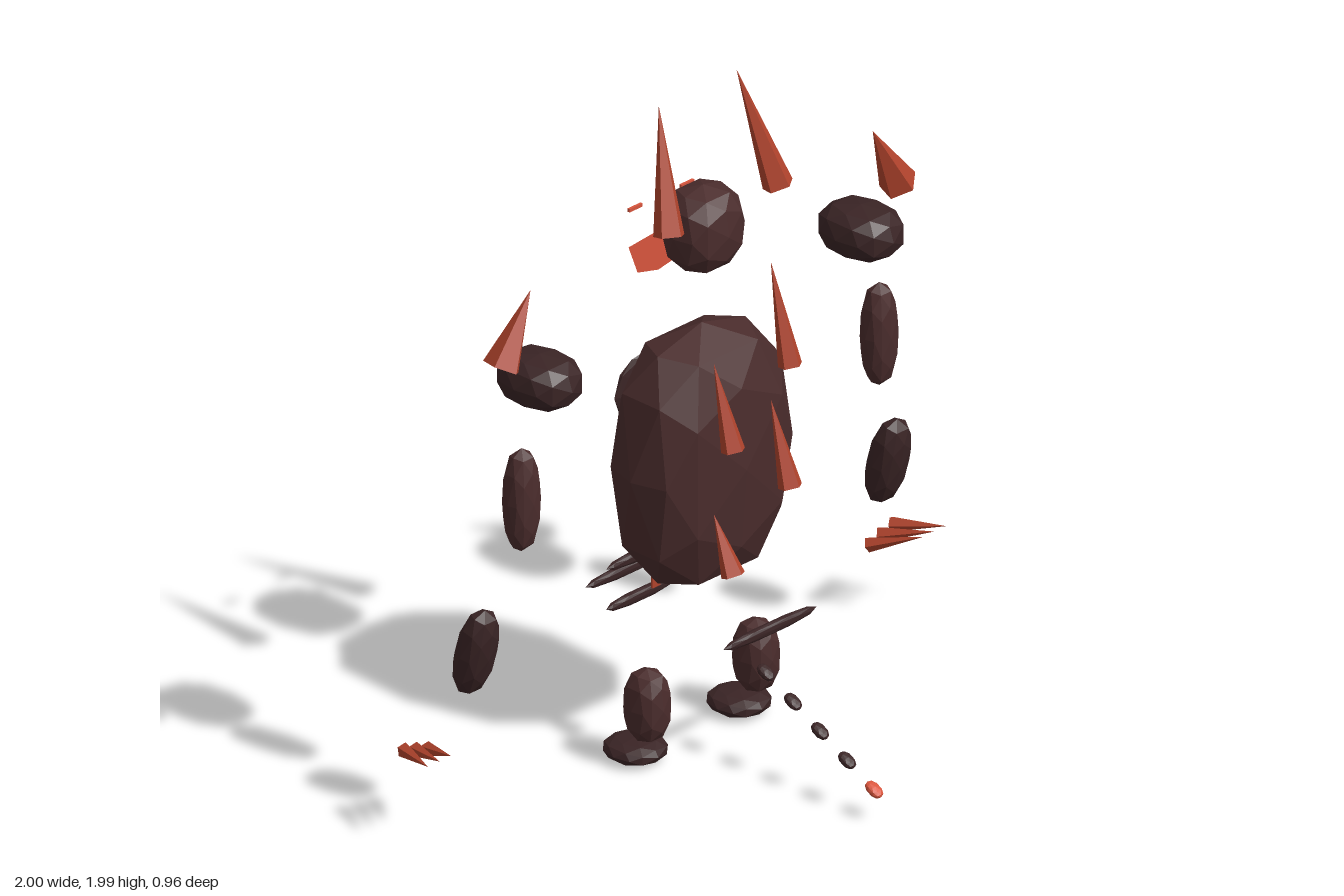
import * as THREE from 'three';

const mat = (color) => new THREE.MeshStandardMaterial({ color, flatShading: true, side: THREE.DoubleSide });
const rock = mat(0x4a2c2c);
const darkRock = mat(0x3a2425);
const horn = mat(0xb0432c);
const ember = mat(0xd8553d);

export function createModel() {
  const model = new THREE.Group();

  const add = (name, geometry, material) => {
    const mesh = new THREE.Mesh(geometry, material);
    mesh.name = name;
    model.add(mesh);
    return mesh;
  };

  // Faceted boulder; a power below 1 makes it boxier
  const boulder = (name, [x, y, z], [rx, ry, rz], material = rock, power = 0.85) => {
    const g = new THREE.IcosahedronGeometry(1, 1);
    const p = g.attributes.position;
    const square = (v) => Math.sign(v) * Math.abs(v) ** power;
    for (let i = 0; i < p.count; i++) {
      p.setXYZ(i, square(p.getX(i)) * rx, square(p.getY(i)) * ry, square(p.getZ(i)) * rz);
    }
    g.computeVertexNormals();
    const mesh = add(name, g, material);
    mesh.position.set(x, y, z);
    return mesh;
  };

  // Five-sided spike running from its base to its tip
  const spike = (name, base, tip, radius, material = horn) => {
    const a = new THREE.Vector3(...base);
    const dir = new THREE.Vector3(...tip).sub(a);
    const length = dir.length();
    const g = new THREE.ConeGeometry(radius, length, 5).translate(0, length / 2, 0);
    const mesh = add(name, g, material);
    mesh.position.copy(a);
    mesh.quaternion.setFromUnitVectors(new THREE.Vector3(0, 1, 0), dir.normalize());
    return mesh;
  };

  // Body and head
  boulder('torso', [0, 0.89, -0.195], [0.275, 0.39, 0.172], rock, 0.75);
  boulder('head', [0, 1.575, -0.19], [0.115, 0.127, 0.1], rock, 0.8);

  // Flat jaw plate
  const jaw = new THREE.Shape([
    [-0.115, 1.49], [-0.08, 1.4], [0, 1.38], [0.085, 1.395], [0.105, 1.46], [0, 1.5],
  ].map(([x, y]) => new THREE.Vector2(x, y)));
  add('jaw', new THREE.ShapeGeometry(jaw), ember).position.z = -0.36;

  // Chest plate, thin belly plates and rear hip plate
  boulder('chestPlate', [0, 1.04, -0.37], [0.16, 0.11, 0.014], darkRock);
  const plates = [
    [0.78, -0.365, 0.12], [0.65, -0.36, 0.13], [0.51, -0.4, 0.16],
    [0.44, -0.46, 0.18], [0.365, -0.43, 0.13], [0.44, 0.065, 0.18],
  ];
  for (const [y, z, rx] of plates) boulder('bodyPlate', [0, y, z], [rx, 0.018, 0.014], darkRock);
  add('beltPendant', new THREE.BoxGeometry(0.03, 0.06, 0.006), horn).position.set(0, 0.44, -0.37);

  // Staggered back spikes
  const backSpikes = [[0.11, 1.19, 1.48], [-0.11, 1.01, 1.25], [0.11, 0.82, 1.06], [-0.11, 0.63, 0.79]];
  for (const [x, y0, y1] of backSpikes) spike('backSpike', [x, y0, 0.035], [x, y1, -0.04], 0.035);

  // Tail segments with a glowing end
  for (let i = 0; i < 5; i++) {
    const segment = boulder('tailSegment', [0, 0.3 - i * 0.052, 0.05 + i * 0.103],
      [0.02, 0.013, 0.03], i === 4 ? ember : darkRock);
    segment.rotation.x = 0.5;
  }

  // Mirrored parts
  for (const s of [-1, 1]) {
    const side = s > 0 ? 'left' : 'right';
    spike(side + 'Horn', [s * 0.21, 1.65, -0.11], [s * 0.15, 1.99, -0.21], 0.045);
    add(side + 'Eye', new THREE.BoxGeometry(0.05, 0.01, 0.008), ember).position.set(s * 0.1, 1.61, -0.35);

    // Arms
    boulder(side + 'Shoulder', [s * 0.62, 1.335, -0.2], [0.1, 0.075, 0.125], darkRock, 0.8);
    spike(side + 'ShoulderSpike', [s * 0.765, 1.42, -0.2], [s * 0.66, 1.62, -0.195], 0.055);
    boulder(side + 'UpperArm', [s * 0.69, 0.99, -0.2], [0.054, 0.157, 0.048], rock);
    const forearm = boulder(side + 'Forearm', [s * 0.795, 0.54, -0.27], [0.062, 0.142, 0.05], darkRock);
    forearm.rotation.x = 0.25;
    for (let i = 0; i < 3; i++) {
      const x = 0.85 + i * 0.045;
      spike(side + 'Claw', [s * x, 0.215 + i * 0.015, -0.4], [s * (x + 0.06), 0.27, -0.25], 0.022);
    }

    // Legs
    boulder(side + 'Shin', [s * 0.21, 0.19, -0.195], [0.062, 0.11, 0.063], rock, 0.8);
    boulder(side + 'Foot', [s * 0.2, 0.036, -0.25], [0.085, 0.032, 0.088], darkRock);
  }
  return model;
}
